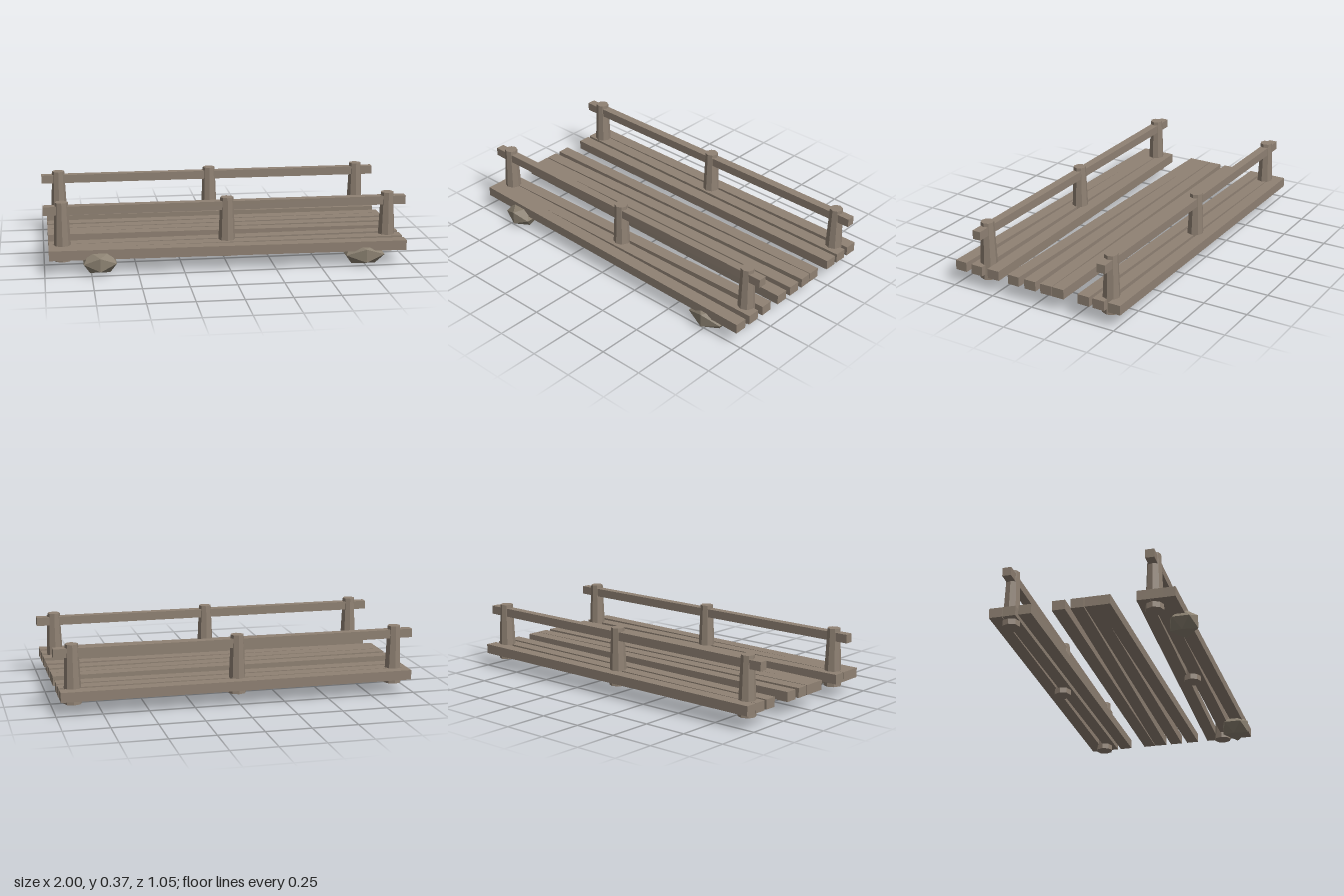
import * as THREE from 'three';

export function createModel() {
  const wood = new THREE.MeshStandardMaterial({ color: 0x8f8173, flatShading: true });
  wood.name = 'weatheredWood';
  const stone = new THREE.MeshStandardMaterial({ color: 0x8b8171, flatShading: true });
  stone.name = 'stone';

  const model = new THREE.Group();
  model.name = 'footbridge';

  const add = (name, geometry, material, x, y, z) => {
    const mesh = new THREE.Mesh(geometry, material);
    mesh.name = name;
    mesh.position.set(x, y, z);
    model.add(mesh);
    return mesh;
  };

  // Deck planks: z of the centre line at the -x end and at the +x end
  const plankLength = 1.95;
  const planks = [
    [-0.489, -0.489], [-0.416, -0.394], [-0.33, -0.305],
    [-0.149, -0.149], [-0.05, -0.076], [0.025, 0.025], [0.09, 0.13],
    [0.296, 0.26], [0.367, 0.367], [0.428, 0.47],
  ];
  const plankGeometry = new THREE.BoxGeometry(plankLength, 0.054, 0.07);
  planks.forEach(([z0, z1], i) => {
    const plank = add(`plank${i + 1}`, plankGeometry, wood, 0, 0.11, (z0 + z1) / 2);
    plank.rotation.y = -Math.atan2(z1 - z0, plankLength);
  });

  // Handrails on tapered posts, one row on each side
  const railGeometry = new THREE.BoxGeometry(2, 0.048, 0.048);
  const postGeometry = new THREE.CylinderGeometry(0.036, 0.05, 0.324, 8);
  for (const [side, z] of [['front', 0.338], ['back', -0.428]]) {
    add(`${side}Rail`, railGeometry, wood, 0, 0.331, z);
    for (const x of [-0.9, 0, 0.9]) add(`${side}Post`, postGeometry, wood, x, 0.213, z);
  }

  // Flattened rocks under the front edge
  const rockGeometry = new THREE.IcosahedronGeometry(1, 0);
  add('rightRock', rockGeometry, stone, -0.704, 0.064, 0.446).scale.set(0.104, 0.07, 0.088);
  add('leftRock', rockGeometry, stone, 0.747, 0.06, 0.447).scale.set(0.126, 0.07, 0.09);

  return model;
}
